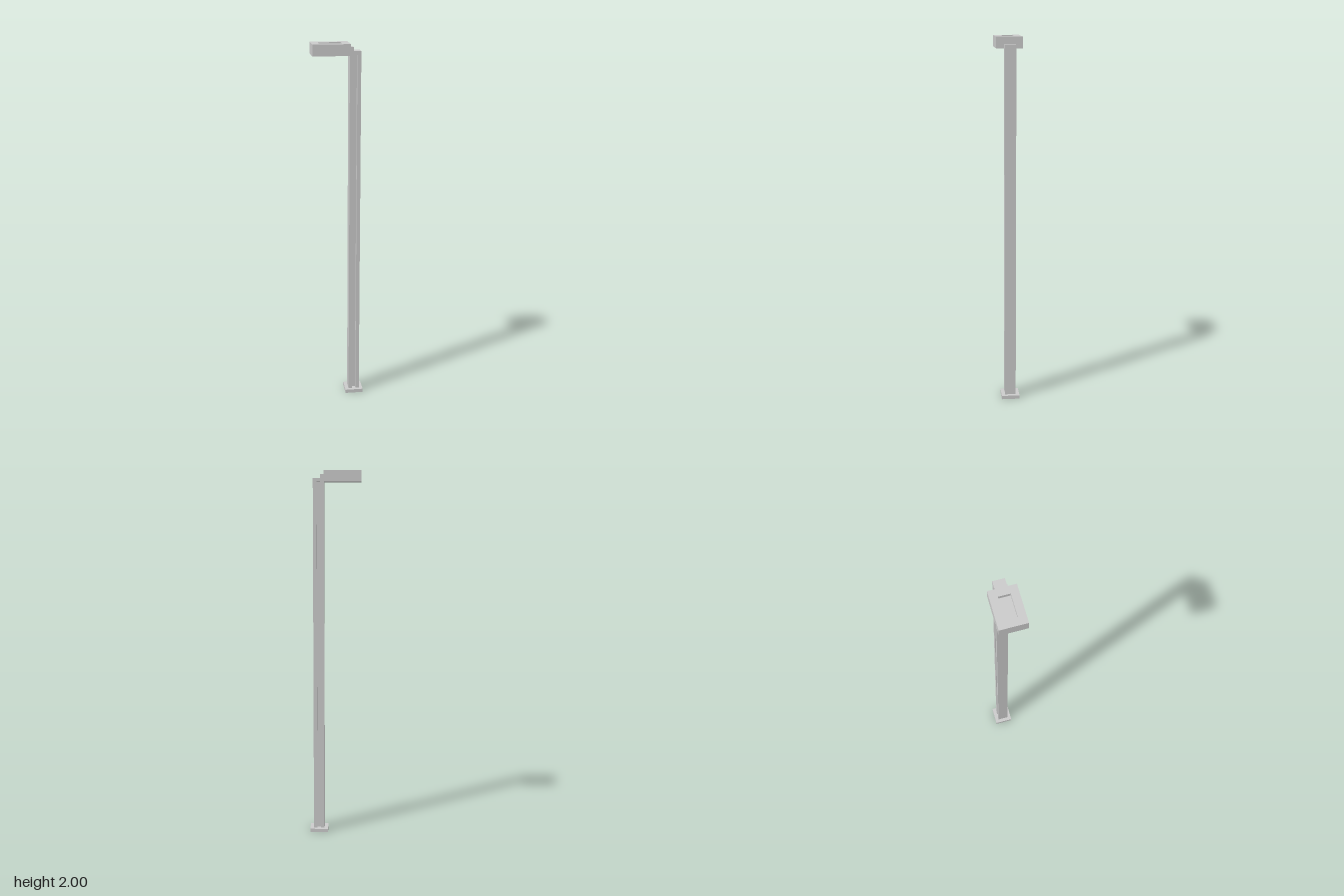
import * as THREE from 'three';

const material = new THREE.MeshStandardMaterial({ color: 0xcccccc, flatShading: true });

// Box given by its extents on each axis
function box(name, [x0, x1], [y0, y1], [z0, z1]) {
  const mesh = new THREE.Mesh(new THREE.BoxGeometry(x1 - x0, y1 - y0, z1 - z0), material);
  mesh.position.set((x0 + x1) / 2, (y0 + y1) / 2, (z0 + z1) / 2);
  mesh.name = name;
  return mesh;
}

// Plan outline (x, z) extruded upwards from y0 to y1
function upright(name, shape, y0, y1) {
  const geometry = new THREE.ExtrudeGeometry(shape, { depth: y1 - y0, bevelEnabled: false });
  geometry.rotateX(-Math.PI / 2);
  const mesh = new THREE.Mesh(geometry, material);
  mesh.position.y = y0;
  mesh.name = name;
  return mesh;
}

const outline = (points) => points.map(([x, z]) => new THREE.Vector2(x, z));
const rectangle = (x0, x1, z) => outline([[x0, -z], [x1, -z], [x1, z], [x0, z]]);

export function createModel() {
  const model = new THREE.Group();
  model.name = 'streetLamp';

  // Square foot plate
  model.add(box('basePlate', [0.04, 0.14], [0, 0.02], [-0.05, 0.05]));

  // Post with a groove down the front and back
  const section = new THREE.Shape(outline([
    [0.06, -0.03], [0.08, -0.03], [0.08, -0.01], [0.10, -0.01], [0.10, -0.03], [0.12, -0.03],
    [0.12, 0.03], [0.10, 0.03], [0.10, 0.01], [0.08, 0.01], [0.08, 0.03], [0.06, 0.03],
  ]));
  model.add(upright('post', section, 0.02, 1.94));

  // Closed top of the post and the raised bracket next to the head
  model.add(box('postCap', [0.08, 0.12], [1.94, 1.96], [-0.03, 0.03]));
  model.add(box('headBracket', [0.06, 0.08], [1.94, 1.98], [-0.03, 0.03]));

  // Lamp head: solid underside with a rectangular recess in the top
  const head = new THREE.Group();
  head.name = 'lampHead';
  const rim = new THREE.Shape(rectangle(-0.14, 0.06, 0.07));
  rim.holes.push(new THREE.Path(rectangle(-0.10, 0.02, 0.03).reverse()));
  head.add(box('headBottom', [-0.14, 0.06], [1.94, 1.98], [-0.07, 0.07]));
  head.add(upright('headRim', rim, 1.98, 2));
  model.add(head);

  return model;
}
